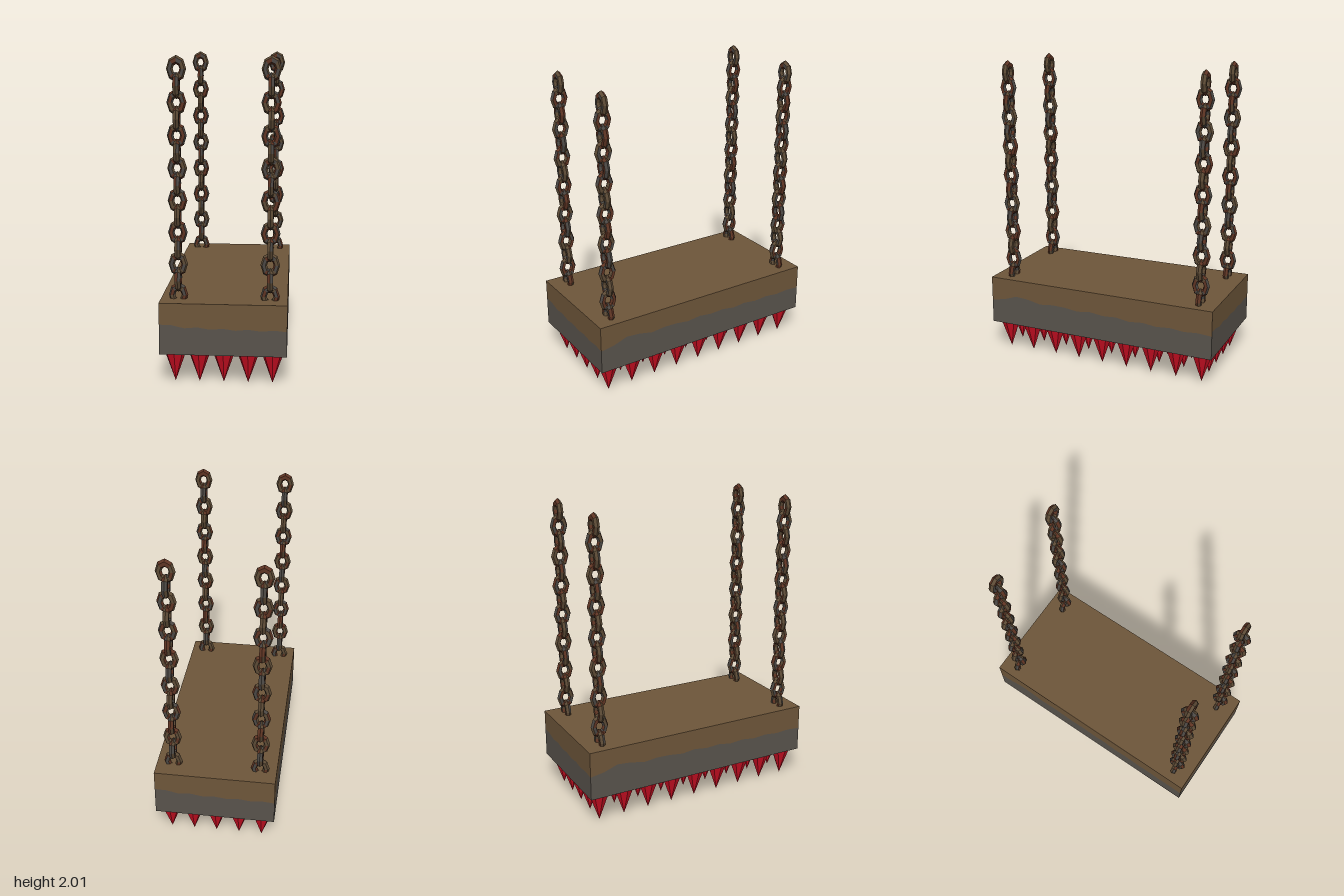
import * as THREE from 'three';

const mat = (name, color) => {
  const m = new THREE.MeshStandardMaterial({ color });
  m.name = name;
  return m;
};

// Small seeded generator for the patchy rust
function seeded(seed) {
  return () => {
    seed = (seed * 16807) % 2147483647;
    return seed / 2147483647;
  };
}

// Flat facets on any geometry
function faceted(geometry) {
  const g = geometry.toNonIndexed();
  g.computeVertexNormals();
  return g;
}

export function createModel() {
  const model = new THREE.Group();
  model.name = 'spikedCeilingTrap';

  const wood = mat('brown wood', 0x6e563a);
  const stone = mat('grey stone', 0x59534c);
  const underside = mat('dark underside', 0x2e2725);
  const red = mat('red spikes', 0xd21024);
  const metals = [mat('brown iron', 0x5c4a35), mat('rust', 0x5e3423), mat('grey iron', 0x4b4743)];

  const W = 0.39, D = 0.8, BOTTOM = 0.2, TOP = 0.525;

  const add = (parent, name, geometry, material) => {
    const mesh = new THREE.Mesh(geometry, material);
    mesh.name = name;
    parent.add(mesh);
    return mesh;
  };

  // Block: four walls, each split by a wavy line into stone and wood
  const block = new THREE.Group();
  block.name = 'block';
  model.add(block);
  const shortWave = [0.39, 0.388, 0.37, 0.378, 0.365, 0.372, 0.362, 0.37, 0.36, 0.368, 0.36];
  const longWave = [0.36, 0.375, 0.408, 0.4, 0.38, 0.39, 0.387, 0.375, 0.386,
    0.374, 0.38, 0.365, 0.374, 0.362, 0.37, 0.36, 0.367, 0.36];

  function addWall(name, half, distance, turn, wave) {
    const wall = new THREE.Group();
    wall.name = name;
    const line = wave.map((y, i) => new THREE.Vector2(-half + (2 * half * i) / (wave.length - 1), y));
    const band = (edge) => new THREE.ShapeGeometry(new THREE.Shape([
      new THREE.Vector2(-half, edge), new THREE.Vector2(half, edge), ...[...line].reverse(),
    ]));
    add(wall, 'stoneBand', band(BOTTOM), stone).position.z = distance;
    add(wall, 'woodBand', band(TOP), wood).position.z = distance;
    wall.rotation.y = turn;
    block.add(wall);
  }
  addWall('frontWall', W, D, 0, shortWave);
  addWall('leftWall', D, W, Math.PI / 2, longWave);
  addWall('backWall', W, D, Math.PI, shortWave);
  addWall('rightWall', D, W, -Math.PI / 2, longWave);

  const lid = add(block, 'blockTop', new THREE.PlaneGeometry(2 * W, 2 * D), wood);
  lid.rotation.x = -Math.PI / 2;
  lid.position.y = TOP;
  const base = add(block, 'blockUnderside', new THREE.PlaneGeometry(2 * W, 2 * D), underside);
  base.rotation.x = Math.PI / 2;
  base.position.y = BOTTOM;

  // Spikes: a 5 by 9 grid pointing down
  const spikes = new THREE.Group();
  spikes.name = 'spikes';
  model.add(spikes);
  const spikeGeometry = faceted(new THREE.ConeGeometry(0.07, BOTTOM, 8));
  spikeGeometry.rotateX(Math.PI);
  for (let i = -2; i <= 2; i++) {
    for (let j = -4; j <= 4; j++) {
      add(spikes, 'spike', spikeGeometry, red).position.set(i * 0.151, BOTTOM / 2, j * 0.1775);
    }
  }

  // Chain link: an oval ring whose facets take patchy iron and rust colours
  const random = seeded(77);
  function makeLink() {
    const ring = new THREE.TorusGeometry(0.04, 0.02, 6, 8);
    ring.scale(1, 1.33, 1);
    const g = faceted(ring);
    const quads = g.attributes.position.count / 6;
    for (let q = 0; q < quads; q++) {
      const r = random();
      g.addGroup(q * 6, 6, r < 0.45 ? 0 : r < 0.75 ? 1 : 2);
    }
    return g;
  }
  const links = [makeLink(), makeLink(), makeLink()];

  // Four chains at the corners, neighbouring links turned a quarter
  for (const sx of [-1, 1]) {
    for (const sz of [-1, 1]) {
      const chain = new THREE.Group();
      chain.name = (sz > 0 ? 'front' : 'back') + (sx > 0 ? 'Left' : 'Right') + 'Chain';
      chain.position.set(sx * 0.282, 0, sz * 0.683);
      for (let i = 0; i < 15; i++) {
        const link = add(chain, 'chainLink', links[i % 3], metals);
        link.position.y = 1.9265 - i * 0.0985;
        link.rotation.y = i % 2 ? Math.PI / 2 : 0;
      }
      model.add(chain);
    }
  }
  return model;
}
